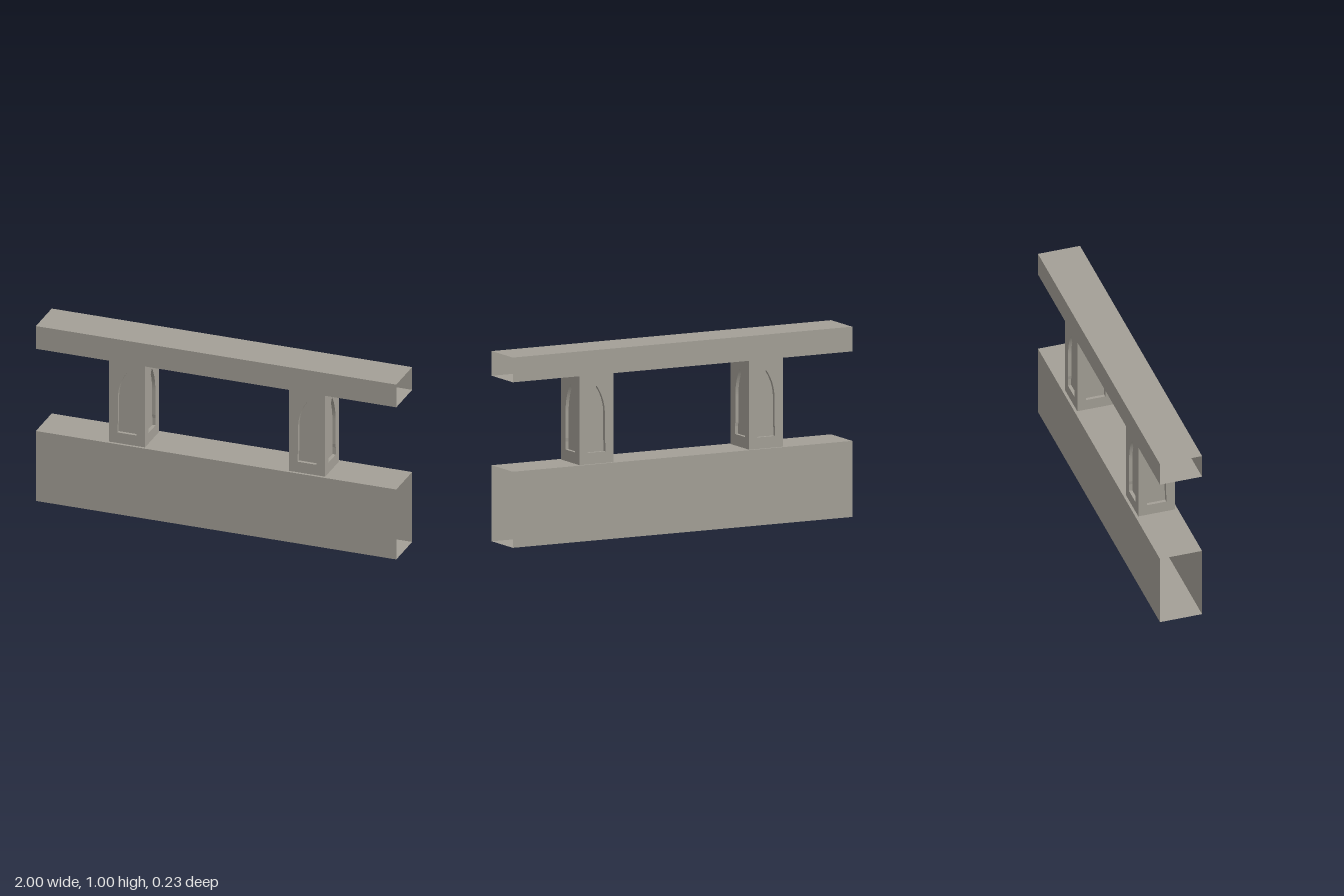
import * as THREE from 'three';

const HALF = 0.1;          // half width of a post
const Y0 = 0.4, Y1 = 0.87; // bottom and top of the posts
const DEPTH = 0.018;       // depth of the niches

// Pointed-arch outline, counter-clockwise, with a slightly wider foot
function archPoints() {
  const s = new THREE.Shape();
  const a = Math.asin(0.6);
  s.moveTo(-0.053, 0.46);
  s.lineTo(0.053, 0.46);
  s.lineTo(0.053, 0.5);
  s.lineTo(0.05, 0.52);
  s.lineTo(0.05, 0.66);
  s.absarc(-0.2, 0.66, 0.25, 0, a, false);
  s.absarc(0.2, 0.66, 0.25, Math.PI - a, Math.PI, false);
  s.lineTo(-0.05, 0.52);
  s.lineTo(-0.053, 0.5);
  return s.getPoints(8);
}

// Strip of walls running from the outline back into the niche
function revealGeometry(points) {
  const pos = [];
  points.forEach((p, i) => {
    const q = points[(i + 1) % points.length];
    if (p.distanceTo(q) < 1e-6) return;
    pos.push(p.x, p.y, 0, q.x, q.y, 0, q.x, q.y, -DEPTH);
    pos.push(p.x, p.y, 0, q.x, q.y, -DEPTH, p.x, p.y, -DEPTH);
  });
  const g = new THREE.BufferGeometry();
  g.setAttribute('position', new THREE.Float32BufferAttribute(pos, 3));
  g.computeVertexNormals();
  return g;
}

// Four-sided beam, hollow with open ends
function beamGeometry(y0, y1, halfDepth) {
  const g = new THREE.BoxGeometry(2, y1 - y0, halfDepth * 2);
  // The first 12 indices are the two end faces
  g.setIndex(Array.from(g.index.array).slice(12));
  g.clearGroups();
  g.translate(0, (y0 + y1) / 2, 0);
  return g;
}

export function createModel() {
  const stone = new THREE.MeshStandardMaterial({ color: 0xa39f96, side: THREE.DoubleSide });
  stone.name = 'stone';

  const model = new THREE.Group();
  model.name = 'balustrade';
  const add = (parent, geometry, name) => {
    const mesh = new THREE.Mesh(geometry, stone);
    mesh.name = name;
    parent.add(mesh);
    return mesh;
  };

  // Plinth and handrail
  add(model, beamGeometry(0, Y0, 0.115), 'plinth');
  add(model, beamGeometry(Y1, 1, 0.115), 'handrail');

  // One side of a post: face with an arched opening, reveal and niche back
  const arch = archPoints();
  const face = new THREE.Shape([
    new THREE.Vector2(-HALF, Y0), new THREE.Vector2(HALF, Y0),
    new THREE.Vector2(HALF, Y1), new THREE.Vector2(-HALF, Y1),
  ]);
  face.holes.push(new THREE.Path(arch));
  const faceGeo = new THREE.ShapeGeometry(face);
  const backGeo = new THREE.ShapeGeometry(new THREE.Shape(arch));
  const revealGeo = revealGeometry(arch);

  // Two square posts with a niche on every side
  for (const x of [-0.5, 0.5]) {
    const post = new THREE.Group();
    post.name = x > 0 ? 'leftPost' : 'rightPost';
    post.position.x = x;
    for (let i = 0; i < 4; i++) {
      const side = new THREE.Group();
      side.name = 'postSide';
      side.rotation.y = i * Math.PI / 2;
      add(side, faceGeo, 'postFace').position.z = HALF;
      add(side, revealGeo, 'nicheReveal').position.z = HALF;
      add(side, backGeo, 'nicheBack').position.z = HALF - DEPTH;
      post.add(side);
    }
    model.add(post);
  }
  return model;
}
